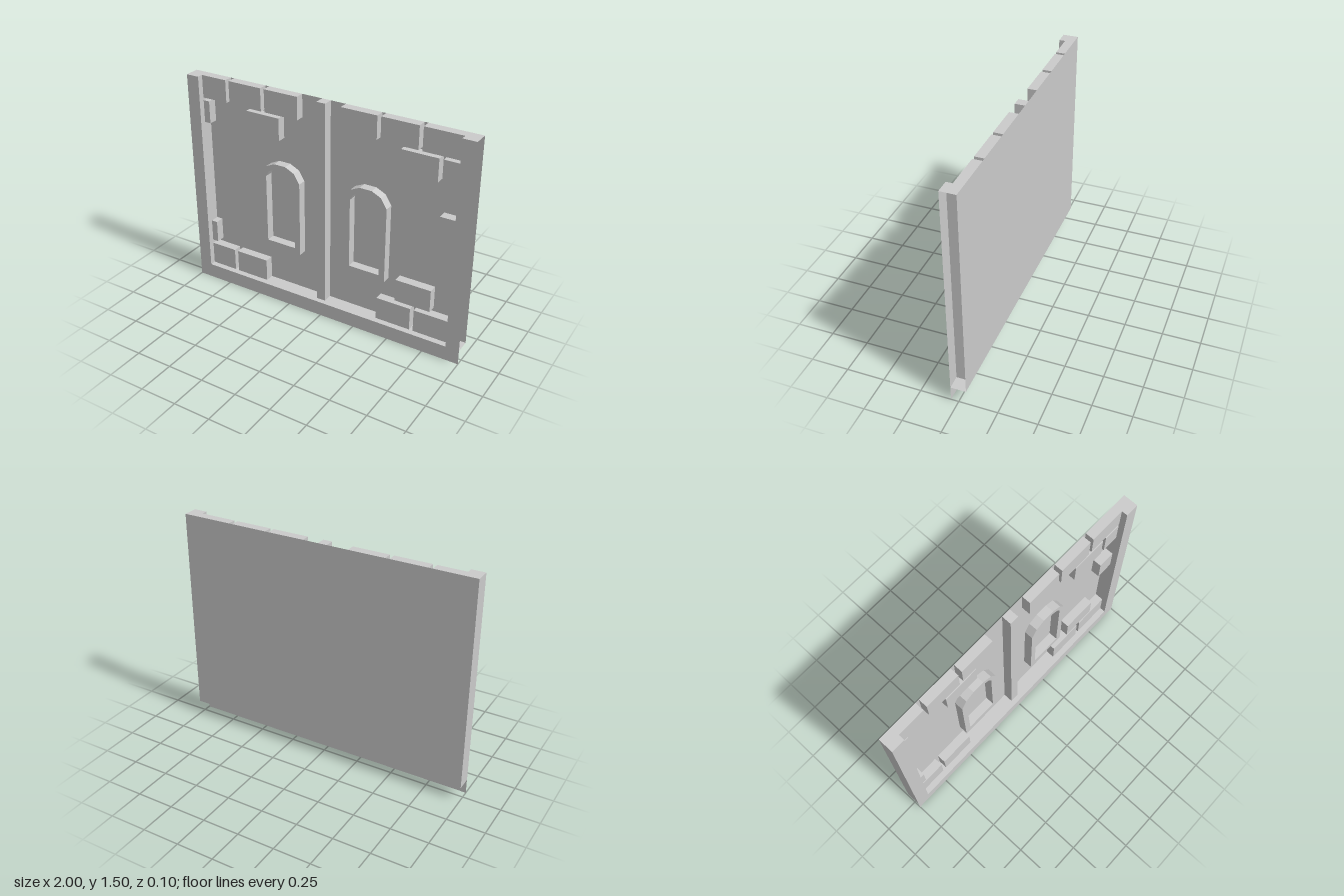
import * as THREE from 'three';

const BACK = -0.05, FRONT = 0.05, RELIEF = 0.01;
const FLOOR = 0.1, TOP = 1.5, INNER = 0.91;

export function createModel() {
  const group = new THREE.Group();
  const solid = new THREE.MeshStandardMaterial({ color: 0xcccccc, flatShading: true });
  const sheet = new THREE.MeshStandardMaterial({ color: 0xcccccc, flatShading: true, side: THREE.DoubleSide });

  function add(name, geometry, material = solid) {
    const mesh = new THREE.Mesh(geometry, material);
    mesh.name = name;
    group.add(mesh);
    return mesh;
  }
  // Block standing out from the back panel
  function block(name, x0, x1, y0, y1, front = RELIEF) {
    add(name, new THREE.BoxGeometry(x1 - x0, y1 - y0, front - BACK))
      .position.set((x0 + x1) / 2, (y0 + y1) / 2, (BACK + front) / 2);
  }
  // Upright sheet across the depth at a given x
  function sideSheet(name, x, faceSign) {
    const m = add(name, new THREE.PlaneGeometry(FRONT - BACK, TOP - FLOOR), sheet);
    m.rotation.y = faceSign * Math.PI / 2;
    m.position.set(x, (TOP + FLOOR) / 2, 0);
  }
  // Level sheet across the depth at a given height
  function levelSheet(name, x0, x1, y) {
    const m = add(name, new THREE.PlaneGeometry(x1 - x0, FRONT - BACK), sheet);
    m.rotation.x = -Math.PI / 2;
    m.position.set((x0 + x1) / 2, y, 0);
  }

  // Thin wall panel
  add('backPanel', new THREE.PlaneGeometry(2, TOP - FLOOR), sheet)
    .position.set(0, (TOP + FLOOR) / 2, BACK);

  // U-shaped front border, with a skirt hanging below the floor ledge
  const border = [[-1, 0], [1, 0], [1, TOP], [INNER, TOP], [INNER, FLOOR],
    [-INNER, FLOOR], [-INNER, TOP], [-1, TOP]].map(([x, y]) => new THREE.Vector2(x, y));
  add('frontBorder', new THREE.ShapeGeometry(new THREE.Shape(border)), sheet).position.z = FRONT;

  // Returns of the border; the left (+x) end stays open
  sideSheet('rightEnd', -1, -1);
  sideSheet('rightPostInnerWall', -INNER, 1);
  sideSheet('leftPostInnerWall', INNER, -1);
  levelSheet('floorLedge', -1, 1, FLOOR);
  levelSheet('rightPostTop', -1, -INNER, TOP);
  levelSheet('leftPostTop', INNER, 1, TOP);

  // Middle beam
  block('middleBeam', -0.045, 0.016, FLOOR, TOP, 0.015);

  // Scattered bricks by course: [bottom, top, [x0, x1] ...]
  const courses = [
    [1.347, TOP, [-0.91, -0.725], [-0.7, -0.457], [-0.43, -0.187], [0.12, 0.365], [0.39, 0.635], [0.66, 0.91]],
    [1.176, 1.328, [-0.91, -0.866], [-0.57, -0.326], [0.524, 0.767], [0.794, 0.91]],
    [0.81, 0.963, [0.794, 0.91]],
    [0.283, 0.436, [-0.91, -0.866], [0.527, 0.77]],
    [FLOOR, 0.256, [-0.91, -0.722], [-0.695, -0.455], [0.397, 0.637], [0.663, 0.91]],
  ];
  for (const [y0, y1, ...bricks] of courses)
    for (const [x0, x1] of bricks) block('brick', x0, x1, y0, y1);

  // Arched window surrounds
  const arch = (half) => {
    const mirrored = half.map(([x, y]) => [-x, y]).reverse();
    return [...half, ...mirrored].map(([x, y]) => new THREE.Vector2(x, y));
  };
  const shape = new THREE.Shape(arch([[0.147, 0.39], [0.147, 0.91], [0.107, 0.975], [0.042, 1.006]]));
  shape.holes.push(new THREE.Path(arch([[0.108, 0.43], [0.108, 0.905], [0.085, 0.945], [0.038, 0.969]])));
  const surround = new THREE.ExtrudeGeometry(shape, { depth: RELIEF - BACK, bevelEnabled: false });
  for (const x of [-0.326, 0.3])
    add('windowSurround', surround).position.set(x, 0, BACK);

  return group;
}
